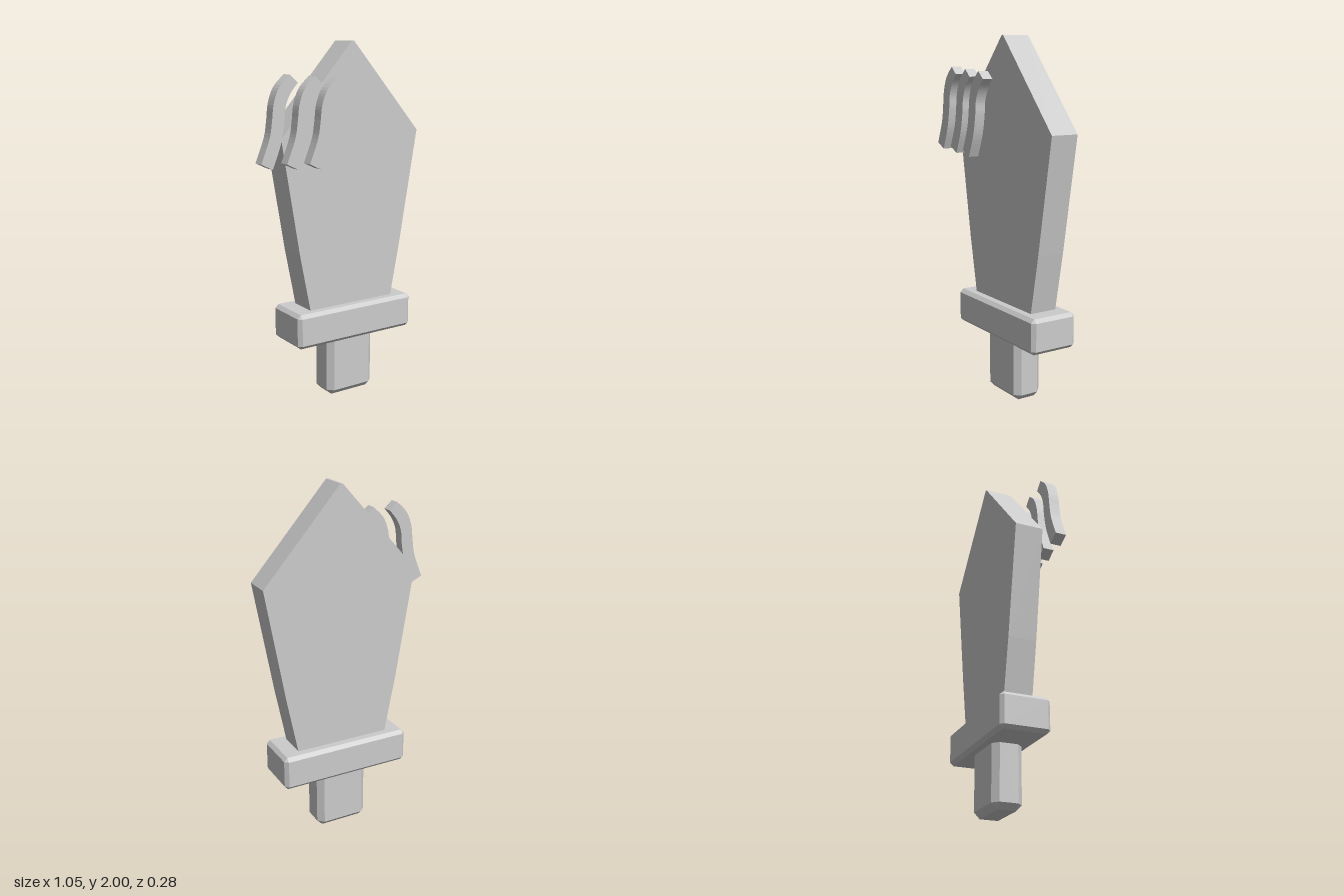
import * as THREE from 'three';
import { ConvexGeometry } from 'three/addons/geometries/ConvexGeometry.js';

const material = new THREE.MeshStandardMaterial({ color: 0xcccccc, flatShading: true });

function addMesh(group, name, geometry) {
  const mesh = new THREE.Mesh(geometry, material);
  mesh.name = name;
  group.add(mesh);
  return mesh;
}

// Box with every edge and corner cut off by c
function chamferedBox(min, max, c) {
  const box = new THREE.Box3(new THREE.Vector3(...min), new THREE.Vector3(...max));
  const half = box.getSize(new THREE.Vector3()).multiplyScalar(0.5);
  const mid = box.getCenter(new THREE.Vector3());
  const points = [];
  for (const sx of [-1, 1]) for (const sy of [-1, 1]) for (const sz of [-1, 1]) {
    for (let full = 0; full < 3; full++) {
      const inset = [0, 1, 2].map((axis) => (axis === full ? 0 : c));
      points.push(new THREE.Vector3(
        mid.x + sx * (half.x - inset[0]),
        mid.y + sy * (half.y - inset[1]),
        mid.z + sz * (half.z - inset[2])));
    }
  }
  return new ConvexGeometry(points);
}

// Flat plate between two depths
function plate(shape, z0, z1) {
  return new THREE.ExtrudeGeometry(shape, { depth: z1 - z0, bevelEnabled: false, curveSegments: 4 })
    .translate(0, 0, z0);
}

const toPoints = (list) => list.map(([x, y]) => new THREE.Vector2(x, y));

export function createModel() {
  const model = new THREE.Group();
  model.name = 'broadBlade';

  // Grip and crossguard
  addMesh(model, 'grip', chamferedBox([-0.08, 0, -0.086], [0.228, 0.38, 0.084], 0.033));
  addMesh(model, 'guard', chamferedBox([-0.31, 0.345, -0.143], [0.458, 0.541, 0.137], 0.02));

  // Broad blade, widening upward to a pointed tip
  const blade = new THREE.Shape(toPoints([
    [-0.194, 0.5], [0.344, 0.5], [0.415, 0.865], [0.525, 1.5],
    [0.082, 2], [0.07, 2], [-0.375, 1.5], [-0.267, 0.865],
  ]));
  addMesh(model, 'blade', plate(blade, -0.083, 0.078));

  // Three wavy strips across the front of the blade's shoulder
  const strip = new THREE.Shape();
  strip.moveTo(-0.357, 1.833);
  strip.splineThru(toPoints([[-0.42, 1.77], [-0.452, 1.69], [-0.463, 1.606], [-0.479, 1.516], [-0.529, 1.389]]));
  strip.lineTo(-0.463, 1.357);
  strip.splineThru(toPoints([[-0.415, 1.479], [-0.392, 1.59], [-0.384, 1.669], [-0.357, 1.733], [-0.31, 1.791]]));
  strip.closePath();
  const stripGeometry = plate(strip, 0.08, 0.141);
  [[0, 0], [0.151, -0.012], [0.29, -0.022]].forEach(([x, y], i) => {
    addMesh(model, `wavyStrip${i + 1}`, stripGeometry).position.set(x, y, 0);
  });

  return model;
}
